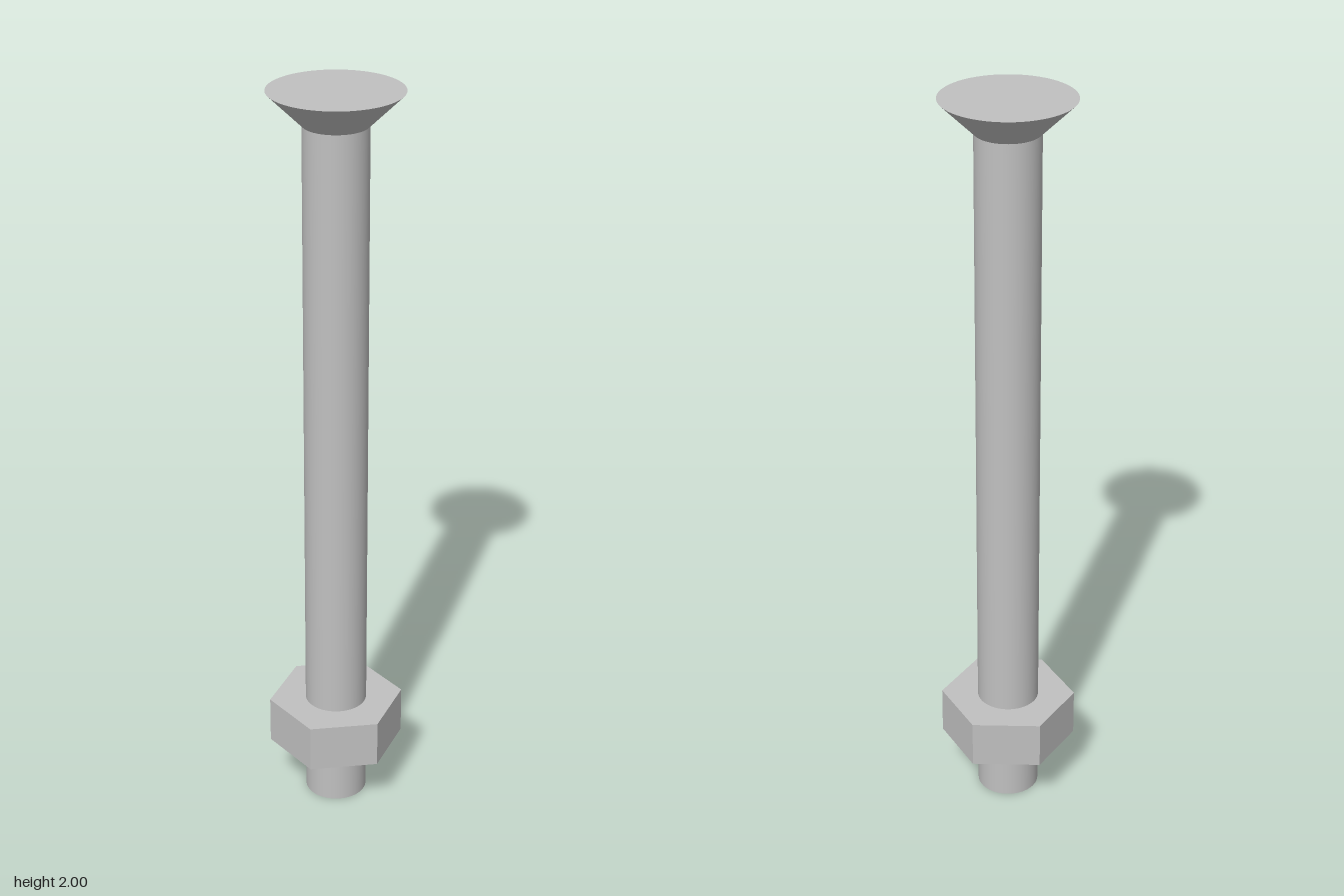
import * as THREE from 'three';

const SHAFT_R = 0.083, HEAD_R = 0.17, NUT_R = 0.182;
const HEIGHT = 2, HEAD_BASE = 1.915, NUT_BASE = 0.16, NUT_H = 0.13;

export function createModel() {
  const steel = new THREE.MeshStandardMaterial({ color: 0xc0c0c0 });
  steel.name = 'steel grey';
  const group = new THREE.Group();
  group.name = 'countersunk bolt with nut';

  const add = (name, geometry, y) => {
    const mesh = new THREE.Mesh(geometry, steel);
    mesh.name = name;
    mesh.position.y = y;
    group.add(mesh);
  };

  // Plain round shaft, running from the ground to the underside of the head
  add('shaft', new THREE.CylinderGeometry(SHAFT_R, SHAFT_R, HEAD_BASE, 64), HEAD_BASE / 2);

  // Countersunk head with a flat top
  const headH = HEIGHT - HEAD_BASE;
  add('head', new THREE.CylinderGeometry(HEAD_R, SHAFT_R, headH, 64), HEAD_BASE + headH / 2);

  // Hexagonal nut with a bore, corners pointing along x
  const hexagon = new THREE.Shape();
  for (let i = 0; i < 6; i++) {
    const a = (i * Math.PI) / 3;
    hexagon[i ? 'lineTo' : 'moveTo'](NUT_R * Math.cos(a), NUT_R * Math.sin(a));
  }
  hexagon.closePath();
  hexagon.holes.push(new THREE.Path().absarc(0, 0, SHAFT_R, 0, Math.PI * 2, true));
  const nut = new THREE.ExtrudeGeometry(hexagon, { depth: NUT_H, bevelEnabled: false, curveSegments: 32 });
  nut.rotateX(-Math.PI / 2);
  add('nut', nut, NUT_BASE);

  return group;
}
